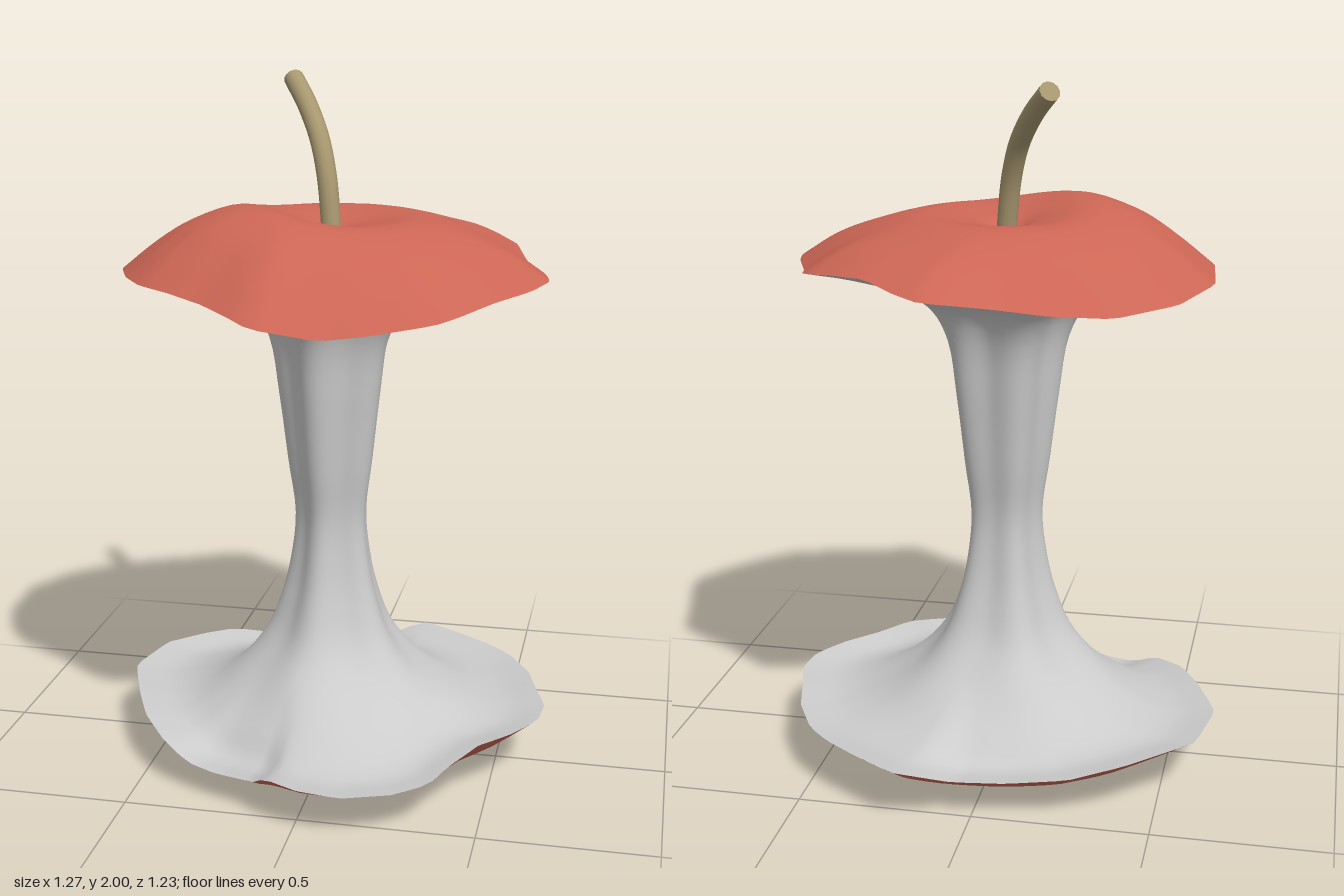
import * as THREE from 'three';

const COLUMNS = 90;

// Uneven bitten edges: [x, y, z] in order around the y axis, starting near +x towards +z
const TOP_RIM = [
  [0.62, 1.47, 0.08], [0.58, 1.46, 0.18], [0.49, 1.45, 0.32], [0.41, 1.43, 0.43], [0.36, 1.42, 0.48],
  [0.2, 1.4, 0.55], [0.08, 1.39, 0.585], [-0.09, 1.42, 0.615], [-0.16, 1.44, 0.57], [-0.24, 1.455, 0.51],
  [-0.35, 1.47, 0.45], [-0.45, 1.475, 0.385], [-0.52, 1.475, 0.28], [-0.58, 1.47, 0.13], [-0.6, 1.46, -0.1],
  [-0.52, 1.44, -0.29], [-0.37, 1.43, -0.44], [-0.21, 1.445, -0.51], [-0.08, 1.465, -0.55], [0.1, 1.49, -0.62],
  [0.18, 1.5, -0.57], [0.27, 1.52, -0.505], [0.37, 1.515, -0.45], [0.48, 1.5, -0.37], [0.53, 1.475, -0.2],
  [0.6, 1.47, -0.02],
];
const BASE_RIM = [
  [0.63, 0.18, 0.1], [0.57, 0.18, 0.2], [0.48, 0.18, 0.3], [0.41, 0.17, 0.43], [0.37, 0.15, 0.5],
  [0.28, 0.14, 0.56], [0.14, 0.135, 0.6], [0.02, 0.14, 0.59], [-0.08, 0.145, 0.55], [-0.12, 0.105, 0.5],
  [-0.25, 0.095, 0.45], [-0.34, 0.1, 0.41], [-0.42, 0.14, 0.37], [-0.51, 0.165, 0.26], [-0.57, 0.175, 0.13],
  [-0.64, 0.175, -0.06], [-0.6, 0.17, -0.26], [-0.5, 0.17, -0.36], [-0.42, 0.165, -0.43], [-0.27, 0.135, -0.485],
  [-0.1, 0.12, -0.51], [0.05, 0.12, -0.53], [0.12, 0.15, -0.575], [0.2, 0.17, -0.6], [0.33, 0.17, -0.52],
  [0.43, 0.17, -0.45], [0.5, 0.17, -0.38], [0.57, 0.175, -0.25], [0.61, 0.18, -0.1], [0.64, 0.18, -0.01],
];

// Radius and height of a rim at any angle
function rimAt(rim, angle) {
  const turn = (a) => ((a % (2 * Math.PI)) + 2 * Math.PI) % (2 * Math.PI);
  for (let i = 0; i < rim.length; i++) {
    const a = rim[i], b = rim[(i + 1) % rim.length];
    const start = Math.atan2(a[2], a[0]);
    const span = turn(Math.atan2(b[2], b[0]) - start);
    const offset = turn(angle - start);
    if (offset <= span) {
      const p = new THREE.Vector3(...a).lerp(new THREE.Vector3(...b), offset / span);
      return { r: Math.hypot(p.x, p.z), y: p.y };
    }
  }
  return { r: Math.hypot(rim[0][0], rim[0][2]), y: rim[0][1] };
}

// Closed-around surface: profile(angle) gives [radius, height] points, smoothed into rows
function sweepAround(profile, rows) {
  const positions = [], index = [];
  for (let j = 0; j < COLUMNS; j++) {
    const angle = (j / COLUMNS) * Math.PI * 2;
    const curve = new THREE.CatmullRomCurve3(
      profile(angle).map(([r, y]) => new THREE.Vector3(r, y, 0)), false, 'centripetal');
    for (let i = 0; i <= rows; i++) {
      const p = curve.getPoint(i / rows);
      positions.push(p.x * Math.cos(angle), p.y, p.x * Math.sin(angle));
    }
  }
  const at = (i, j) => (j % COLUMNS) * (rows + 1) + i;
  for (let j = 0; j < COLUMNS; j++) {
    for (let i = 0; i < rows; i++) {
      index.push(at(i, j), at(i, j + 1), at(i + 1, j));
      index.push(at(i, j + 1), at(i + 1, j + 1), at(i + 1, j));
    }
  }
  const geometry = new THREE.BufferGeometry();
  geometry.setAttribute('position', new THREE.Float32BufferAttribute(positions, 3));
  geometry.setIndex(index);
  geometry.computeVertexNormals();
  return geometry;
}

// Domed skin around the stem hollow, with one higher shoulder
function capProfile(angle) {
  const rim = rimAt(TOP_RIM, angle);
  const shoulder = 1.618 + 0.042 * Math.max(0, Math.cos(angle - 2.5)) ** 2;
  const drop = shoulder - rim.y;
  return [
    [0.004, 1.5], [0.025, 1.55], [0.06, 1.585], [0.13, 1.585 + (shoulder - 1.585) * 0.55], [0.25, shoulder],
    [0.16 + rim.r * 0.39, shoulder - 0.02 - drop * 0.12], [rim.r * 0.83, shoulder - drop * 0.56], [rim.r, rim.y],
  ];
}

// Eaten flesh from the cap's edge down the fluted core to the base's edge
function fleshProfile(angle) {
  const top = rimAt(TOP_RIM, angle), base = rimAt(BASE_RIM, angle);
  const flute = Math.cos(5 * angle - 2.5);
  // each core row: radius, height, depth of fluting
  const core = [
    [0.29, 1.415, 0.06], [0.21, 1.36, 0.1], [0.166, 1.27, 0.1], [0.142, 1.1, 0.09], [0.12, 0.9, 0.08],
    [0.102, 0.74, 0.07], [0.115, 0.6, 0.08], [0.14, 0.49, 0.08], [0.183, 0.38, 0.07], [0.262, 0.28, 0.04],
  ].map(([r, y, depth]) => [r * (1 + depth * flute), y]);
  return [
    [top.r, top.y], [top.r * 0.8, top.y * 0.5 + 0.723],
    ...core,
    [0.21 + base.r * 0.29, 0.14 + base.y * 0.3], [base.r * 0.82, base.y * 0.75 + 0.028], [base.r, base.y],
  ];
}

// Shallow bowl of skin cut off at the bitten edge, with a dimple underneath
function baseProfile(angle) {
  const rim = rimAt(BASE_RIM, angle);
  const bowl = (r) => 0.72 * r ** 3;
  const lift = rim.y - bowl(rim.r);
  const outer = [1, 0.93, 0.84, 0.73, 0.6].map((f) => [rim.r * f, bowl(rim.r * f) + lift * f ** 6]);
  return [...outer, [0.24, 0.006], [0.16, 0.005], [0.09, 0.025], [0.035, 0.07], [0.003, 0.085]];
}

export function createModel() {
  const group = new THREE.Group();
  const add = (name, geometry, color) => {
    const mesh = new THREE.Mesh(geometry, new THREE.MeshStandardMaterial({ color }));
    mesh.name = name;
    group.add(mesh);
    return mesh;
  };

  add('topSkin', sweepAround(capProfile, 28), 0xcc6655);
  add('flesh', sweepAround(fleshProfile, 56), 0xcccccc);
  add('bottomSkin', sweepAround(baseProfile, 36), 0xcc6655);

  // Stem leaning back in one plane, as [lean, height], with a flat cut end
  const path = new THREE.CatmullRomCurve3([
    [0, 1.5], [0.015, 1.61], [0.04, 1.72], [0.09, 1.82], [0.18, 1.91], [0.285, 1.98],
  ].map(([lean, y]) => new THREE.Vector3(-0.575 * lean, y, -0.818 * lean)));
  add('stem', new THREE.TubeGeometry(path, 20, 0.029, 12), 0xa89870);
  const end = add('stemEnd', new THREE.CircleGeometry(0.029, 12), 0xa89870);
  end.position.copy(path.getPoint(1));
  end.quaternion.setFromUnitVectors(new THREE.Vector3(0, 0, 1), path.getTangent(1));

  return group;
}
